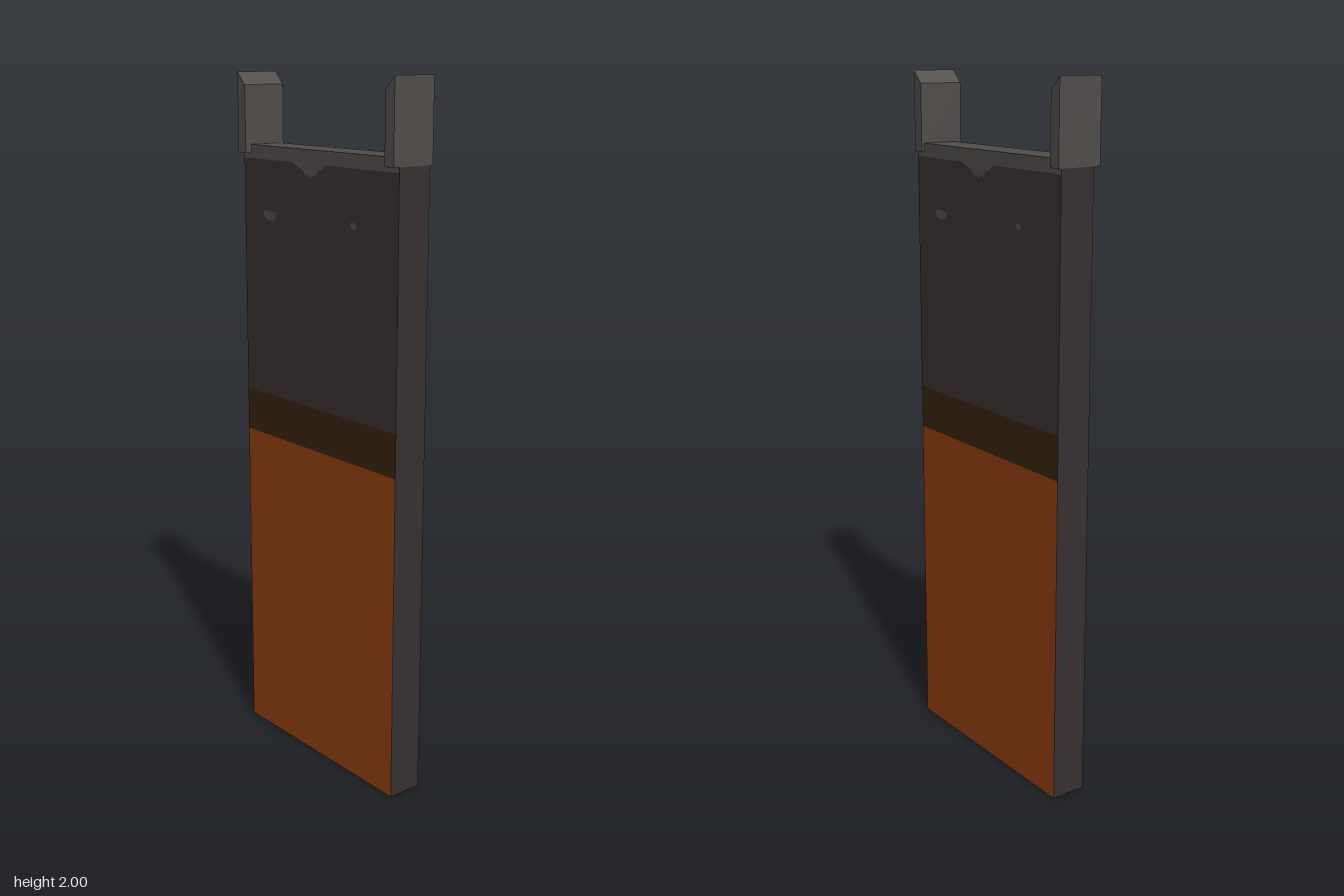
import * as THREE from 'three';

const HALF_W = 0.332, HALF_D = 0.0525, BODY_TOP = 1.78;

function material(name, color) {
  const m = new THREE.MeshStandardMaterial({ color, side: THREE.DoubleSide });
  m.name = name;
  return m;
}

export function createModel() {
  const orange = material('burnt orange', 0x8f3d0f);
  const brown = material('dark brown', 0x37240f);
  const dark = material('charcoal', 0x393032);
  const grey = material('worn grey', 0x514d4b);

  const model = new THREE.Group();
  model.name = 'panel';

  function add(parent, name, geometry, mat, x = 0, y = 0, z = 0) {
    const mesh = new THREE.Mesh(geometry, mat);
    mesh.name = name;
    mesh.position.set(x, y, z);
    parent.add(mesh);
    return mesh;
  }
  const outline = (points) =>
    new THREE.Shape(points.map(([x, y]) => new THREE.Vector2(x, y)));

  // Hollow body, open at the bottom
  const body = new THREE.Group();
  body.name = 'body';
  body.position.z = -0.0055;
  model.add(body);

  // Horizontal colour bands of each broad face
  const bands = [
    ['lowerBand', 0, 0.955, orange],
    ['middleBand', 0.955, 1.08, brown],
    ['upperBand', 1.08, BODY_TOP, dark],
  ];
  // Worn edge with a ragged drip, and two scuffs
  const wear = {
    wornEdge: [
      [-HALF_W, BODY_TOP], [-HALF_W, 1.762], [-0.11, 1.762], [-0.085, 1.752],
      [-0.065, 1.745], [-0.045, 1.728], [-0.035, 1.732], [-0.028, 1.722],
      [-0.018, 1.732], [-0.008, 1.73], [0.008, 1.746], [0.02, 1.748],
      [0.04, 1.762], [HALF_W, 1.762], [HALF_W, BODY_TOP],
    ],
    largeScuff: [
      [-0.245, 1.612], [-0.235, 1.598], [-0.215, 1.592], [-0.19, 1.596],
      [-0.183, 1.616], [-0.21, 1.618], [-0.235, 1.62],
    ],
    smallScuff: [
      [0.142, 1.618], [0.145, 1.606], [0.155, 1.602], [0.168, 1.608],
      [0.165, 1.616], [0.152, 1.622],
    ],
  };

  // The back repeats the front, turned half a circle
  for (const [name, turn] of [['frontFace', 0], ['backFace', Math.PI]]) {
    const face = new THREE.Group();
    face.name = name;
    face.rotation.y = turn;
    body.add(face);
    for (const [band, y0, y1, mat] of bands) {
      add(face, band, new THREE.PlaneGeometry(2 * HALF_W, y1 - y0), mat, 0, (y0 + y1) / 2, HALF_D);
    }
    for (const [patch, points] of Object.entries(wear)) {
      add(face, patch, new THREE.ShapeGeometry(outline(points)), grey, 0, 0, HALF_D + 0.001);
    }
  }

  // Narrow side walls
  for (const [name, s] of [['leftWall', 1], ['rightWall', -1]]) {
    const wall = add(body, name, new THREE.PlaneGeometry(2 * HALF_D, BODY_TOP), dark,
      s * HALF_W, BODY_TOP / 2, 0);
    wall.rotation.y = s * Math.PI / 2;
  }

  // Top cap
  add(body, 'topCap', new THREE.BoxGeometry(2 * HALF_W, 0.02, 2 * HALF_D), grey, 0, BODY_TOP + 0.01, 0);

  // Upright end posts with tops bevelled towards the middle
  const post = outline([[0.298, 1.776], [0.333, 1.776], [0.333, 2], [0.298, 1.965]]);
  for (const [name, turn] of [['leftPost', 0], ['rightPost', Math.PI]]) {
    const geometry = new THREE.ExtrudeGeometry(post, { depth: 0.134, bevelEnabled: false });
    geometry.translate(0, 0, -0.067);
    add(model, name, geometry, grey).rotation.y = turn;
  }

  return model;
}
